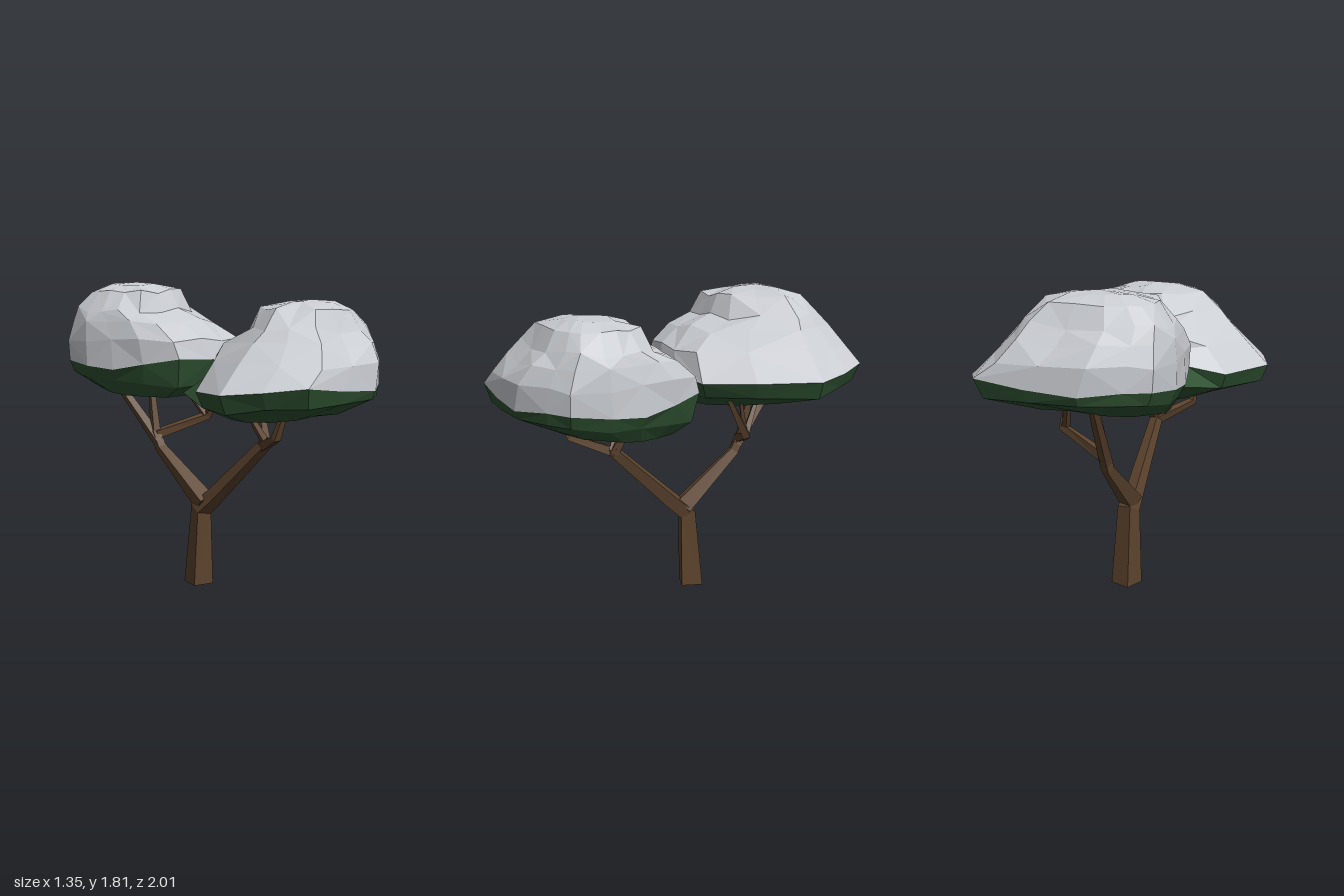
import * as THREE from 'three';

const frost = new THREE.MeshStandardMaterial({ color: 0xc9ccd1 });
const leaf = new THREE.MeshStandardMaterial({ color: 0x2f5232 });
const bark = new THREE.MeshStandardMaterial({ color: 0x5c432d });
frost.name = 'snow white';
leaf.name = 'leaf green';
bark.name = 'bark brown';

// Faceted skin over rings of equal point count, with optional end points
function loft(rings, start, end) {
  const tris = [];
  const n = rings[0].length;
  for (let j = 0; j < n; j++) {
    const k = (j + 1) % n;
    for (let i = 0; i + 1 < rings.length; i++) {
      const a = rings[i][j], b = rings[i][k], c = rings[i + 1][j], d = rings[i + 1][k];
      if ((i + j) % 2) tris.push(a, c, b, b, c, d);
      else tris.push(a, c, d, a, d, b);
    }
    const last = rings[rings.length - 1];
    if (start) tris.push(start, rings[0][j], rings[0][k]);
    if (end) tris.push(end, last[k], last[j]);
  }
  const geometry = new THREE.BufferGeometry().setFromPoints(tris);
  geometry.computeVertexNormals();
  return geometry;
}

function addMesh(group, name, geometry, material) {
  const mesh = new THREE.Mesh(geometry, material);
  mesh.name = name;
  group.add(mesh);
}

// Tapered four-sided limb through points [x, y, z, radius]
function limb(path) {
  const up = new THREE.Vector3(0, 1, 0);
  const pts = path.map(([x, y, z]) => new THREE.Vector3(x, y, z));
  const rings = pts.map((p, i) => {
    const dir = new THREE.Vector3();
    if (i > 0) dir.add(p.clone().sub(pts[i - 1]).normalize());
    if (i + 1 < pts.length) dir.add(pts[i + 1].clone().sub(p).normalize());
    const turn = new THREE.Quaternion().setFromUnitVectors(up, dir.normalize());
    return Array.from({ length: 4 }, (_, j) => {
      const a = (j / 4) * Math.PI * 2 - 0.43;
      const v = new THREE.Vector3(Math.cos(a), 0, Math.sin(a));
      v.multiplyScalar(path[i][3]).applyQuaternion(turn).add(p);
      if (path[i][1] === 0) v.y = 0;
      return v;
    });
  });
  return loft(rings, pts[0], pts[pts.length - 1]);
}

// Canopy plan: x and z normalised to -1..1, then the height of the snow line
const plan = [
  [0.34, 1, 1.235], [-0.17, 1, 1.25], [-0.66, 0.95, 1.285], [-0.86, 0.58, 1.25], [-1, 0.17, 1.23],
  [-0.69, -0.44, 1.22], [-0.38, -0.92, 1.22], [0, -1, 1.25], [0.34, -1, 1.27], [0.74, -0.92, 1.27],
  [0.9, -0.54, 1.25], [0.97, -0.15, 1.21], [1, 0.23, 1.22], [0.9, 0.65, 1.24], [0.69, 0.81, 1.25],
];
const SNOW_LINE = 2;
const CORNER = 6;

// Canopy levels: xMin, xMax, zMin, zMax, y, rise towards +z, jitter
const levels = [
  [-0.36, 0.38, 0.13, 0.74, 1.065, 0.02, 0.012],
  [-0.63, 0.45, 0.01, 0.98, 1.147, 0.025, 0.015],
  [-0.68, 0.48, -0.03, 1.0, 0, 0, 0.008],
  [-0.53, 0.475, 0.0, 0.99, 1.38, 0, 0.018],
  [-0.42, 0.465, 0.13, 0.92, 1.475, -0.01, 0.02],
  [-0.36, 0.45, 0.28, 0.85, 1.55, 0, 0.02],
  [-0.25, 0.36, 0.33, 0.79, 1.655, 0, 0.018],
  [-0.1, 0.24, 0.45, 0.7, 1.695, 0, 0.008],
];

function canopy(name, bareCorner) {
  let seed = 11;
  const jitter = (s) => {
    seed = (seed * 16807) % 2147483647;
    return (seed / 2147483647 - 0.5) * 2 * s;
  };
  const rings = levels.map(([x0, x1, z0, z1, y, rise, s], i) => plan.map(([u, v, snowY]) => new THREE.Vector3(
    (x0 + x1) / 2 + (u * (1 + jitter(s)) * (x1 - x0)) / 2,
    (i === SNOW_LINE ? snowY : y + rise * v) + jitter(s),
    (z0 + z1) / 2 + (v * (1 + jitter(s)) * (z1 - z0)) / 2,
  )));
  // Raised shoulder above the pointed side
  rings[SNOW_LINE + 2][3].y += 0.035;
  // Inner corner where the leaves show past the snow
  if (bareCorner) {
    rings[SNOW_LINE - 1][CORNER].set(-0.31, 1.19, 0);
    rings[SNOW_LINE][CORNER].set(-0.3, 1.28, 0.15);
    rings[SNOW_LINE + 1][CORNER].set(-0.21, 1.37, 0.18);
  }
  const group = new THREE.Group();
  group.name = name;
  addMesh(group, 'leafyUnderside', loft(rings.slice(0, SNOW_LINE + 1), new THREE.Vector3(0.02, 1.035, 0.42)), leaf);
  addMesh(group, 'snowCap', loft(rings.slice(SNOW_LINE), null, new THREE.Vector3(0.06, 1.71, 0.6)), frost);
  return group;
}

export function createModel() {
  const tree = new THREE.Group();
  tree.name = 'snowyTree';

  // Trunk and its two main limbs
  const limbs = {
    trunkAndFrontLimb: [[-0.025, 0, -0.138, 0.09], [-0.029, 0.46, -0.112, 0.066], [-0.032, 0.55, -0.005, 0.055], [-0.032, 0.91, 0.38, 0.038]],
    backLimb: [[-0.03, 0.5, -0.08, 0.07], [-0.03, 0.8, -0.44, 0.037], [-0.03, 0.9, -0.49, 0.034]],
    // Front branches
    frontOuterBranch: [[-0.03, 0.89, 0.36, 0.038], [-0.2, 0.97, 0.57, 0.028], [-0.2, 1.15, 0.64, 0.018]],
    frontInnerBranch: [[-0.03, 0.89, 0.37, 0.036], [0.04, 1.1, 0.28, 0.02]],
    frontMiddleBranch: [[-0.03, 0.9, 0.38, 0.028], [-0.11, 1.09, 0.3, 0.014]],
    frontTwig: [[-0.03, 0.9, 0.37, 0.02], [-0.09, 0.95, 0.43, 0.003]],
    // Back branches
    backOuterBranch: [[-0.03, 0.84, -0.46, 0.038], [-0.1, 1.27, -0.82, 0.024]],
    backMiddleBranch: [[-0.03, 0.87, -0.48, 0.034], [0.0, 1.2, -0.55, 0.02]],
    backSideBranch: [[-0.03, 0.88, -0.48, 0.036], [0.28, 0.98, -0.33, 0.03], [0.31, 1.2, -0.2, 0.018]],
    backSideTwig: [[0.27, 0.98, -0.33, 0.026], [0.2, 1.17, -0.45, 0.014]],
    backCrossTwig: [[0.27, 0.98, -0.33, 0.022], [0.3, 1.18, -0.28, 0.012]],
  };
  for (const [name, path] of Object.entries(limbs)) addMesh(tree, name, limb(path), bark);

  // Two canopies, the back one turned half round and raised
  const back = canopy('backCanopy', false);
  back.rotation.y = Math.PI;
  back.position.y = 0.1;
  tree.add(canopy('frontCanopy', true), back);
  return tree;
}
